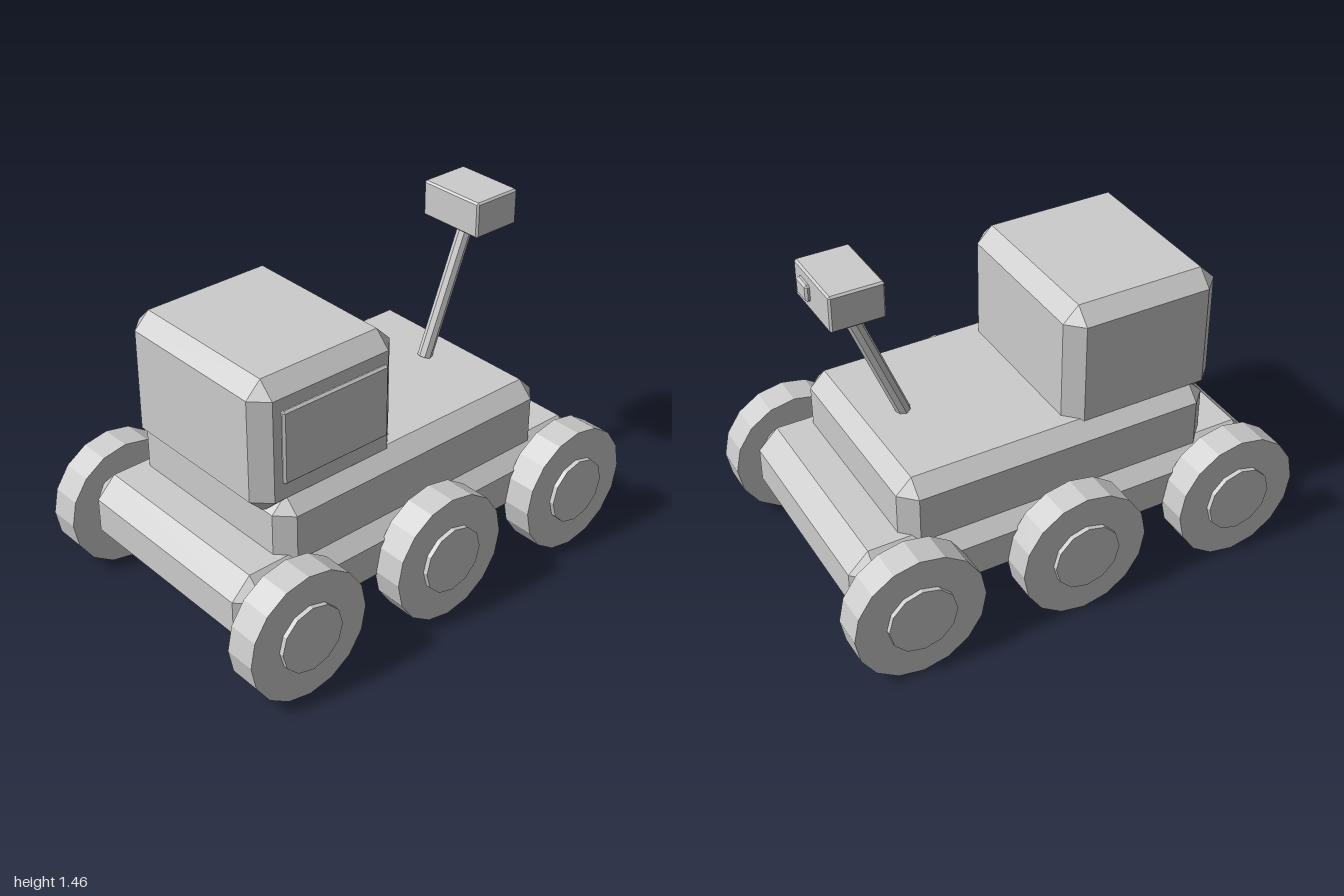
import * as THREE from 'three';
import { ConvexGeometry } from 'three/addons/geometries/ConvexGeometry.js';

// Box with every edge and corner cut at 45 degrees
function chamferBox(w, h, d, c) {
  const points = [];
  for (const sx of [-1, 1]) for (const sy of [-1, 1]) for (const sz of [-1, 1]) {
    const x = w / 2, y = h / 2, z = d / 2;
    points.push(
      new THREE.Vector3(sx * x, sy * (y - c), sz * (z - c)),
      new THREE.Vector3(sx * (x - c), sy * y, sz * (z - c)),
      new THREE.Vector3(sx * (x - c), sy * (y - c), sz * z)
    );
  }
  return new ConvexGeometry(points);
}

export function createModel() {
  const model = new THREE.Group();
  model.name = 'rover';
  const grey = new THREE.MeshStandardMaterial({ color: 0xcccccc, flatShading: true });
  grey.name = 'grey';

  const add = (name, geometry, parent = model) => {
    const mesh = new THREE.Mesh(geometry, grey);
    mesh.name = name;
    parent.add(mesh);
    return mesh;
  };

  // Chamfered block given by its min and max on each axis
  const block = (name, [x0, x1], [y0, y1], [z0, z1], c) =>
    add(name, chamferBox(x1 - x0, y1 - y0, z1 - z0, c))
      .position.set((x0 + x1) / 2, (y0 + y1) / 2, (z0 + z1) / 2);

  // Hull, deck and cabin
  block('chassis', [-0.92, 0.92], [0.18, 0.497], [-0.52, 0.52], 0.085);
  block('upperBody', [-0.69, 0.69], [0.37, 0.74], [-0.46, 0.46], 0.066);
  block('cabin', [-0.75, -0.06], [0.665, 1.235], [-0.405, 0.405], 0.067);
  block('cabinPanel', [-0.66, -0.15], [0.815, 1.13], [0.413, 0.437], 0.009);

  // Leaning mast with its camera head
  const foot = new THREE.Vector3(0.46, 0.74, 0);
  const tip = new THREE.Vector3(0.695, 1.33, 0);
  const along = tip.clone().sub(foot);
  const mast = add('mast', new THREE.CylinderGeometry(0.031, 0.031, along.length(), 8));
  mast.position.copy(foot).add(tip).multiplyScalar(0.5);
  mast.quaternion.setFromUnitVectors(new THREE.Vector3(0, 1, 0), along.normalize());
  block('cameraHead', [0.58, 0.805], [1.302, 1.457], [-0.155, 0.155], 0.008);
  block('cameraLens', [0.79, 0.823], [1.343, 1.415], [0.015, 0.105], 0.009);

  // Six wheels with raised hubs
  for (const side of [-1, 1]) {
    for (const x of [-0.725, 0, 0.722]) {
      const wheel = new THREE.Group();
      wheel.name = 'wheel';
      wheel.position.set(x, 0.278, side * 0.5775);
      wheel.rotation.x = side * Math.PI / 2;
      add('tire', new THREE.CylinderGeometry(0.278, 0.278, 0.135, 16), wheel);
      add('hub', new THREE.CylinderGeometry(0.145, 0.145, 0.155, 12), wheel).position.y = 0.01;
      model.add(wheel);
    }
  }
  return model;
}
